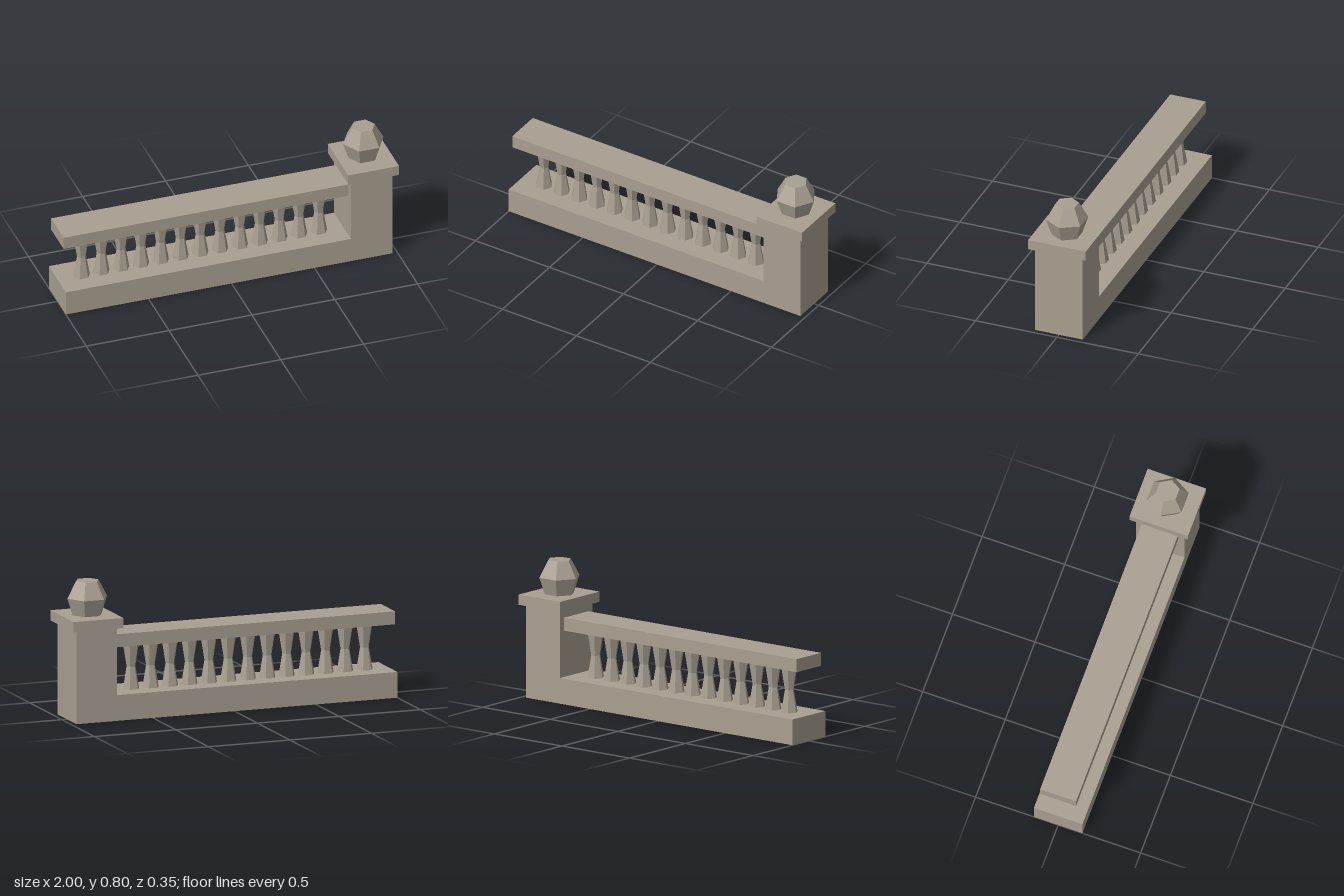
import * as THREE from 'three';

export function createModel() {
  const model = new THREE.Group();
  model.name = 'balustrade';
  const stone = new THREE.MeshStandardMaterial({ color: 0xa89f90, flatShading: true, side: THREE.DoubleSide });

  const add = (name, geometry, x = 0, y = 0) => {
    const mesh = new THREE.Mesh(geometry, stone);
    mesh.name = name;
    mesh.position.set(x, y, 0);
    model.add(mesh);
  };

  // Box between two x and two y limits; open lists the sides left out
  // (0 right, 1 left, 2 top, 3 bottom, 4 front, 5 back)
  const block = (name, x0, x1, y0, y1, depth, open = []) => {
    const geometry = new THREE.BoxGeometry(x1 - x0, y1 - y0, depth);
    const index = Array.from(geometry.index.array);
    geometry.setIndex(index.filter((_, i) => !open.includes(Math.floor(i / 6))));
    geometry.clearGroups();
    add(name, geometry, (x0 + x1) / 2, (y0 + y1) / 2);
  };

  // Six-sided turned shape with corners on the x axis
  const turned = (profile) => new THREE.LatheGeometry(
    profile.map(([r, y]) => new THREE.Vector2(r, y)), 6, Math.PI / 2);

  // Plinth and pier are hollow shells, open underneath
  block('plinth', -1, 0.72, 0, 0.15, 0.294, [0, 3]);
  block('pier', 0.72, 0.97, 0, 0.543, 0.294, [3]);
  block('pierCap', 0.693, 1, 0.543, 0.603, 0.354);
  block('handrail', -1, 0.72, 0.42, 0.496, 0.218);

  // Faceted finial on the pier
  add('finial', turned([[0, 0.603], [0.089, 0.603], [0.122, 0.702], [0.069, 0.8], [0, 0.8]]), 0.845);

  // Row of waisted balusters
  const baluster = turned([[0.05, 0.15], [0.027, 0.28], [0.05, 0.42]]);
  for (let i = 0; i < 13; i++) add('baluster' + (i + 1), baluster, -0.855 + i * 0.1193);

  return model;
}
